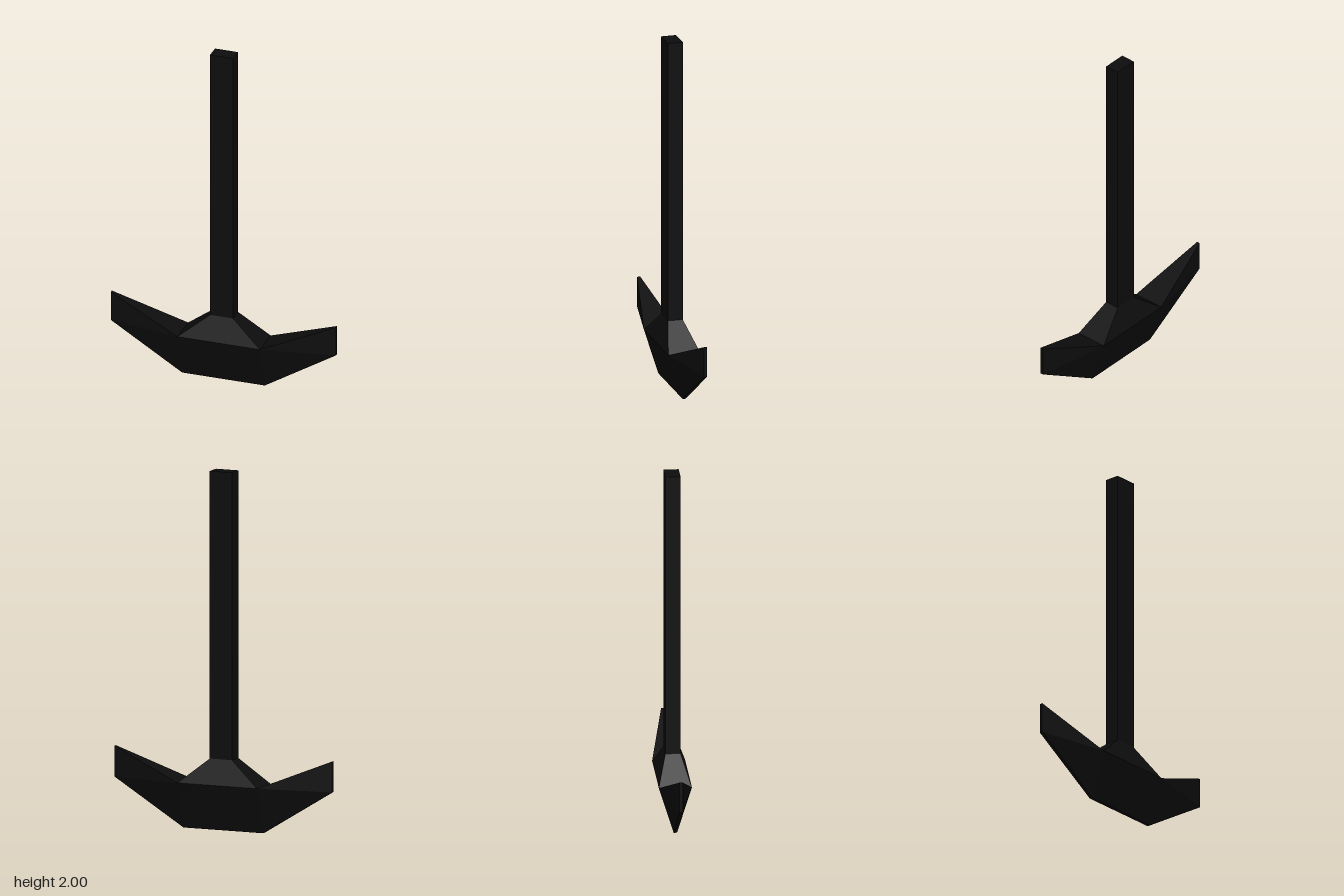
import * as THREE from 'three';
import { ConvexGeometry } from 'three/addons/geometries/ConvexGeometry.js';

// Flat-faced solid from [x, y, halfDepth] corners, mirrored front to back
function solid(corners) {
  const points = corners.flatMap(([x, y, d]) => [
    new THREE.Vector3(x, y, d),
    new THREE.Vector3(x, y, -d),
  ]);
  return new ConvexGeometry(points);
}

export function createModel() {
  const model = new THREE.Group();
  model.name = 'pickTool';
  const black = new THREE.MeshStandardMaterial({ color: 0x0d0d0d, flatShading: true });
  black.name = 'black';

  const add = (name, geometry) => {
    const mesh = new THREE.Mesh(geometry, black);
    mesh.name = name;
    model.add(mesh);
    return mesh;
  };

  // Straight rectangular handle
  add('handle', new THREE.BoxGeometry(0.134, 1.6, 0.084)).position.y = 1.2;

  // Collar tapering from the handle out to the thick shoulder
  add('collar', solid([[-0.067, 0.4, 0.042], [0.067, 0.4, 0.042], [0.24, 0.26, 0.091], [-0.24, 0.26, 0.091]]));

  // Central blade narrowing to the bottom edge
  add('blade', solid([[-0.24, 0.26, 0.091], [0.24, 0.26, 0.091], [0.24, 0, 0.009], [-0.24, 0, 0.009]]));

  // Upswept arms ending in thin blunt tips
  for (const [name, s] of [['leftArm', 1], ['rightArm', -1]]) {
    add(name, solid([[s * 0.24, 0.26, 0.091], [s * 0.24, 0, 0.009], [s * 0.655, 0.255, 0.009], [s * 0.655, 0.427, 0.009]]));
  }

  // Slight twist about the handle
  model.rotation.y = -0.026;
  return model;
}
